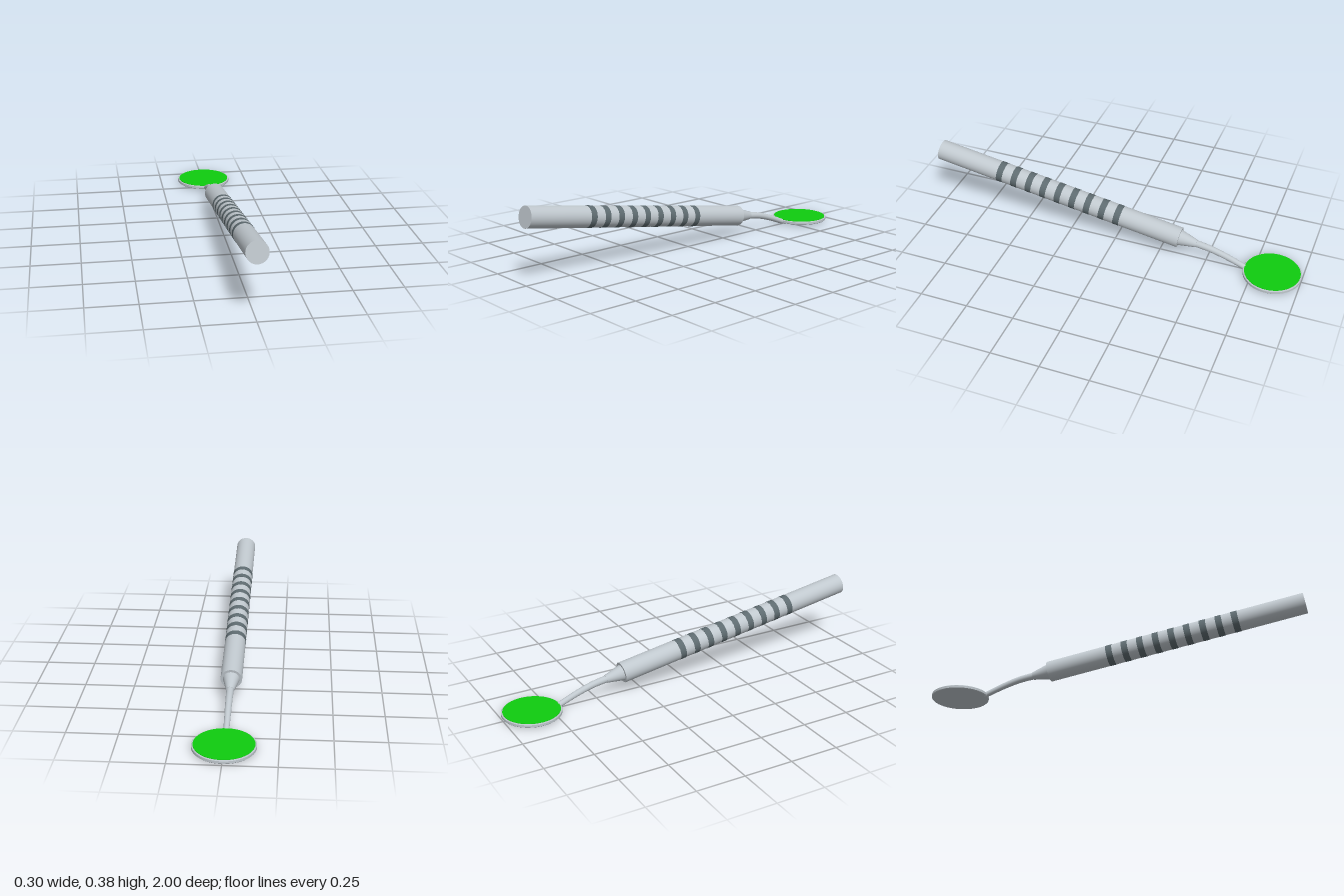
import * as THREE from 'three';

const steel = new THREE.MeshStandardMaterial({ color: 0xc0c8ce });
steel.name = 'steel';
const darkGrip = new THREE.MeshStandardMaterial({ color: 0x5e6b70 });
darkGrip.name = 'darkGrip';
const mirrorGreen = new THREE.MeshStandardMaterial({ color: 0x0fcc0f });
mirrorGreen.name = 'mirrorGreen';

function add(parent, name, geometry, material, y = 0) {
  const mesh = new THREE.Mesh(geometry, material);
  mesh.name = name;
  mesh.position.y = y;
  parent.add(mesh);
  return mesh;
}

// Tube whose radius blends from r0 to r1 along the curve
function taperedTube(curve, r0, r1, segments, sides) {
  const geo = new THREE.TubeGeometry(curve, segments, 1, sides);
  const pos = geo.attributes.position;
  const v = new THREE.Vector3();
  for (let i = 0; i < pos.count; i++) {
    const u = Math.floor(i / (sides + 1)) / segments;
    const centre = curve.getPointAt(u);
    v.fromBufferAttribute(pos, i).sub(centre).multiplyScalar(r0 + (r1 - r0) * u).add(centre);
    pos.setXYZ(i, v.x, v.y, v.z);
  }
  return geo;
}

export function createModel() {
  const model = new THREE.Group();
  model.name = 'dentalMirror';
  const tilt = 0.164, radius = 0.0535, length = 1.365;

  // Handle assembly: local y runs along the sloping axis toward the front
  const handle = new THREE.Group();
  handle.name = 'handleAssembly';
  handle.position.set(0, 0.107, -0.355);
  handle.rotation.x = Math.PI / 2 - tilt;
  model.add(handle);
  add(handle, 'handle', new THREE.CylinderGeometry(radius, radius, length, 48), steel, length / 2);

  // Nine dark grip bands
  for (let i = 0; i < 9; i++) {
    const y = (0.335 + i * 0.0822) / Math.cos(tilt);
    add(handle, 'gripBand', new THREE.CylinderGeometry(radius + 0.001, radius + 0.001, 0.033, 48), darkGrip, y);
  }

  // Conical collar between handle and neck
  add(handle, 'collar', new THREE.CylinderGeometry(0.041, 0.02, 0.092, 40), steel, -0.046);

  // Gently curved neck, ending under the rim of the head
  const curve = new THREE.CatmullRomCurve3([
    new THREE.Vector3(0, 0.094, -0.435),
    new THREE.Vector3(0, 0.079, -0.52),
    new THREE.Vector3(0, 0.053, -0.605),
    new THREE.Vector3(0, 0.014, -0.705),
  ]);
  add(model, 'neck', taperedTube(curve, 0.0185, 0.014, 24, 24), steel);
  add(model, 'neckTip', new THREE.SphereGeometry(0.014, 24, 16), steel, 0.014).position.z = -0.703;

  // Round head: slightly bevelled backing dish and the mirror face
  const head = new THREE.Group();
  head.name = 'head';
  head.position.z = -0.85;
  model.add(head);
  const disc = (name, top, bottom, y0, y1, material) =>
    add(head, name, new THREE.CylinderGeometry(top, bottom, y1 - y0, 64), material, (y0 + y1) / 2);
  disc('backing', 0.15, 0.147, 0.006, 0.009, steel);
  disc('rim', 0.15, 0.15, 0.009, 0.021, steel);
  disc('rimEdge', 0.148, 0.15, 0.021, 0.0235, steel);
  disc('mirrorFace', 0.143, 0.143, 0.0235, 0.0255, mirrorGreen);

  return model;
}
